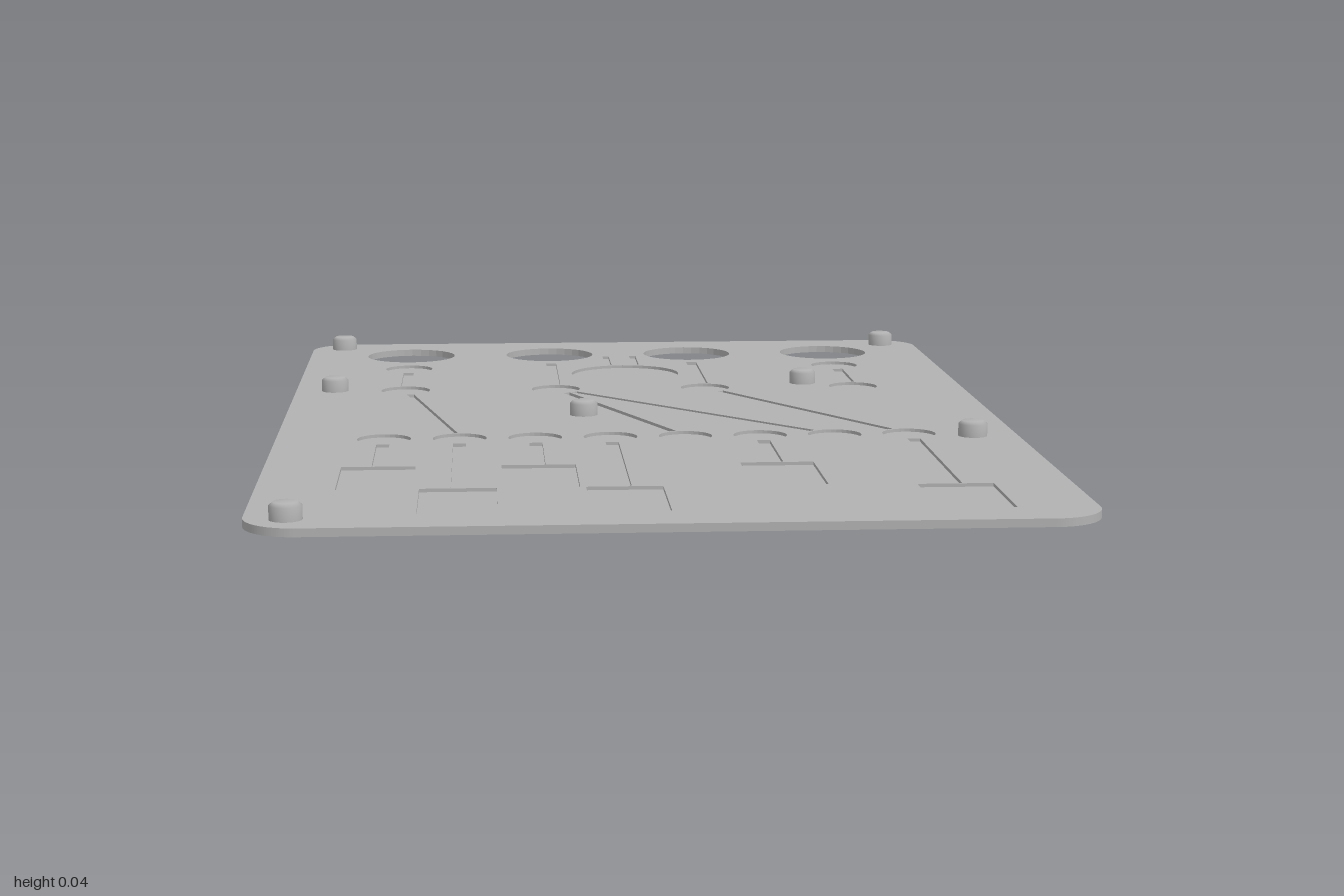
import * as THREE from 'three';

const W = 0.69, L = 1, CORNER = 0.09;   // half width, half length, corner radius
const TOP = 0.014, FLOOR = 0.008;       // plate top and pocket floor heights
const PAD = 0.05;                       // round pocket radius

// Shapes are drawn in (x, -z) and laid flat.
function outline() {
  const s = new THREE.Shape();
  s.absarc(W - CORNER, L - CORNER, CORNER, 0, Math.PI / 2);
  s.absarc(-W + CORNER, L - CORNER, CORNER, Math.PI / 2, Math.PI);
  s.absarc(-W + CORNER, -L + CORNER, CORNER, Math.PI, Math.PI * 1.5);
  s.absarc(W - CORNER, -L + CORNER, CORNER, Math.PI * 1.5, Math.PI * 2);
  s.closePath();
  return s;
}

function circle(x, z, r) {
  const p = new THREE.Path();
  p.absarc(x, -z, r, 0, Math.PI * 2, true);
  return p;
}

function rect(x0, x1, z0, z1) {
  return new THREE.Path([[x0, z0], [x1, z0], [x1, z1], [x0, z1]].map(([x, z]) => new THREE.Vector2(x, -z)));
}

// Narrow groove between two points, shortened by a gap at each end
function groove(ax, az, bx, bz, gapA = 0, gapB = 0, width = 0.014) {
  const a = new THREE.Vector2(ax, -az), b = new THREE.Vector2(bx, -bz);
  const d = b.clone().sub(a).normalize();
  const n = new THREE.Vector2(-d.y, d.x).multiplyScalar(width / 2);
  a.addScaledVector(d, gapA);
  b.addScaledVector(d, -gapB);
  return new THREE.Path([a.clone().add(n), b.clone().add(n), b.clone().sub(n), a.clone().sub(n)]);
}

function layer(holes, y, depth, material, name) {
  const s = outline();
  s.holes.push(...holes);
  const g = new THREE.ExtrudeGeometry(s, { depth, bevelEnabled: false, curveSegments: 16 });
  g.rotateX(-Math.PI / 2);
  g.translate(0, y, 0);
  const m = new THREE.Mesh(g, material);
  m.name = name;
  return m;
}

export function createModel() {
  const group = new THREE.Group();
  group.name = 'mountingPlate';
  const grey = new THREE.MeshStandardMaterial({ color: 0xb2b2b2 });
  grey.name = 'grey';

  // Four large through holes along the back edge
  const columns = [-0.465, -0.155, 0.155, 0.465];
  const through = () => columns.map((x) => circle(x, -0.813, 0.097));

  // Shallow pockets in the upper layer
  const pockets = [];
  const rowZ = 0.23, upperZ = -0.33, gap = PAD + 0.005;
  for (let i = 0; i < 8; i++) pockets.push(circle(-0.49 + i * 0.14, rowZ, PAD));

  // Rectangular pockets, each joined by a groove to a round one
  [[-0.49, 0.5], [-0.35, 0.7], [-0.21, 0.5], [-0.07, 0.7], [0.21, 0.5], [0.49, 0.71]].forEach(([x, z]) => {
    pockets.push(rect(x - 0.065, x + 0.065, z, z + 0.2));
    pockets.push(groove(x, rowZ, x, z, gap, 0.004, 0.024));
  });

  // Upper round pockets and the grooves running back from them
  columns.forEach((x, i) => {
    const outer = i === 0 || i === 3;
    pockets.push(circle(x, upperZ, PAD));
    pockets.push(groove(x, upperZ, x, outer ? -0.62 : -0.68, gap, outer ? gap : 0, 0.022));
    if (outer) pockets.push(circle(x, -0.62, PAD));
  });

  // Long diagonal grooves
  [[-0.465, -0.35], [-0.155, 0.07], [-0.155, 0.35], [0.155, 0.49]].forEach(([a, b]) =>
    pockets.push(groove(a, upperZ, b, rowZ, gap, gap)));

  // Large round pocket with two leads
  pockets.push(circle(0, -0.53, 0.115));
  for (const x of [-0.03, 0.03]) pockets.push(groove(x, -0.65, x, -0.78));

  group.add(layer(through(), 0, FLOOR, grey, 'basePlate'));
  group.add(layer([...through(), ...pockets], FLOOR, TOP - FLOOR, grey, 'pocketedPlate'));

  // Chamfered locating pegs
  const profile = [[0.027, TOP - 0.002], [0.027, 0.037], [0.02, 0.043], [0, 0.043]];
  const pegGeometry = new THREE.LatheGeometry(profile.map(([r, y]) => new THREE.Vector2(r, y)), 24);
  [[-0.62, -0.93], [0.615, -0.93], [-0.61, -0.335], [0.365, -0.38],
    [-0.11, -0.015], [0.605, 0.26], [-0.62, 0.93]].forEach(([x, z]) => {
    const peg = new THREE.Mesh(pegGeometry, grey);
    peg.name = 'peg';
    peg.position.set(x, 0, z);
    group.add(peg);
  });
  return group;
}
